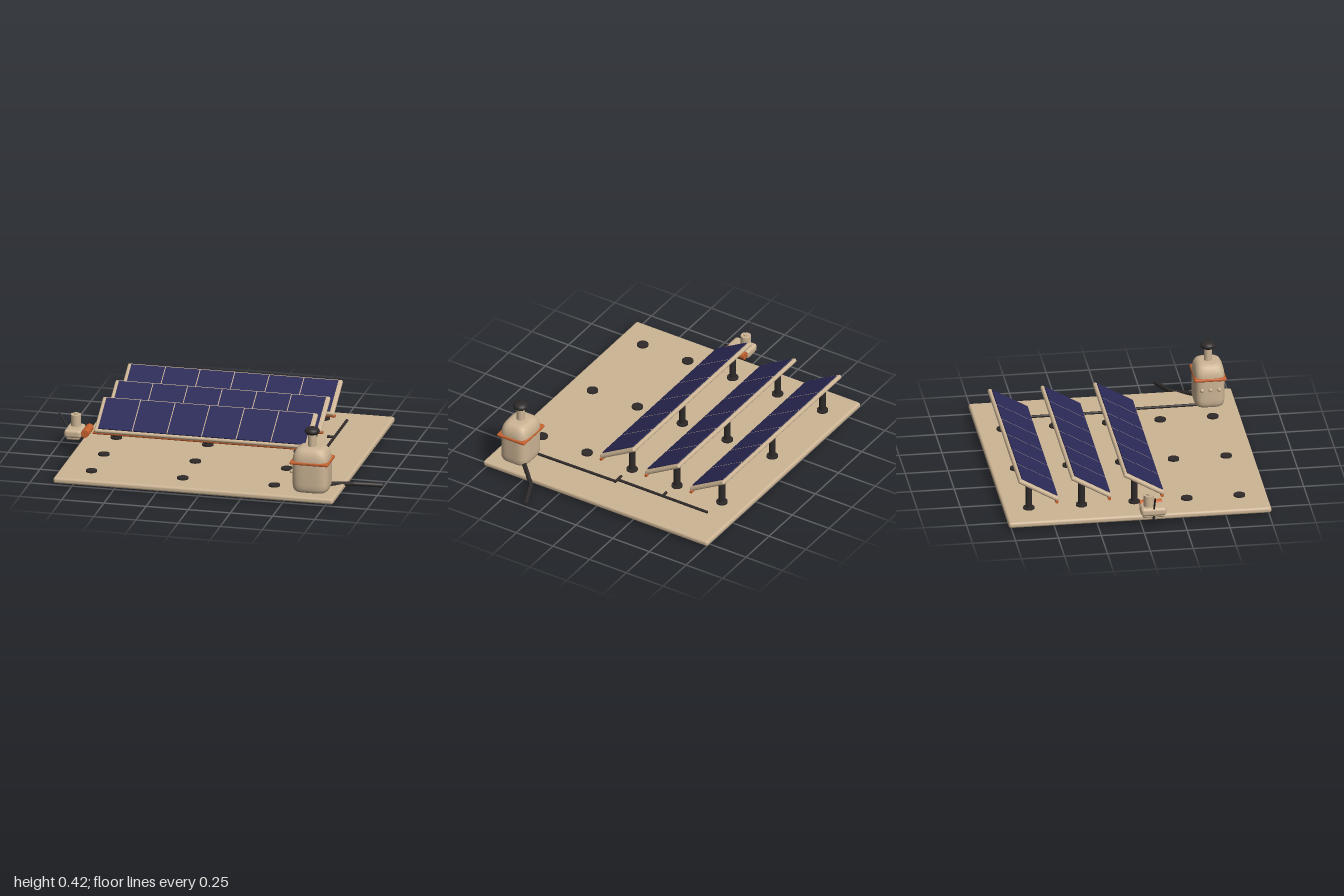
import * as THREE from 'three';
import { mergeVertices } from 'three/addons/utils/BufferGeometryUtils.js';
import { RoundedBoxGeometry } from 'three/addons/geometries/RoundedBoxGeometry.js';

export function createModel() {
  const mat = (name, color) => {
    const m = new THREE.MeshStandardMaterial({ color });
    m.name = name;
    return m;
  };
  const beige = mat('sandBeige', 0xcdb595);
  const orange = mat('burntOrange', 0xc8622f);
  const dark = mat('charcoal', 0x2f2a2a);
  const navy = mat('solarNavy', 0x2b2a58);

  const model = new THREE.Group();
  model.name = 'solarStation';

  const add = (parent, name, geo, material, x = 0, y = 0, z = 0) => {
    const mesh = new THREE.Mesh(geo, material);
    mesh.name = name;
    mesh.position.set(x, y, z);
    parent.add(mesh);
    return mesh;
  };
  const group = (name, x = 0, y = 0, z = 0) => {
    const g = new THREE.Group();
    g.name = name;
    g.position.set(x, y, z);
    model.add(g);
    return g;
  };
  const rbox = (w, h, d, r) => new RoundedBoxGeometry(w, h, d, 4, r);
  const cyl = (r, h, r2 = r) => new THREE.CylinderGeometry(r2, r, h, 24);
  // Straight rod between two points
  const rod = (parent, name, a, b, r, material) => {
    const p = new THREE.Vector3(...a), q = new THREE.Vector3(...b);
    const d = q.clone().sub(p);
    const m = add(parent, name, cyl(r, d.length()), material);
    m.position.copy(p).add(q).multiplyScalar(0.5);
    m.quaternion.setFromUnitVectors(new THREE.Vector3(0, 1, 0), d.normalize());
    return m;
  };

  // Base plate
  add(model, 'basePlate', rbox(1.66, 0.035, 1.53, 0.014), beige, -0.03, 0.0295, -0.003);

  // Mounting pads in five rows, posts and panels on the back three
  const postX = [-0.67, -0.128, 0.415];
  for (let row = 0; row < 5; row++) {
    const z = -0.625 + row * 0.3065;
    for (const x of postX) {
      add(model, 'mountingPad', cyl(0.033, 0.012), dark, x, 0.051, z);
      if (row < 3) add(model, 'post', cyl(0.019, 0.15), dark, x, 0.122, z);
    }
    if (row > 2) continue;

    const panel = group('solarPanel', -0.128, 0.197, z + 0.045);
    panel.rotation.x = Math.PI / 6;
    add(panel, 'panelFrame', rbox(1.275, 0.025, 0.268, 0.011), beige);
    for (let i = 0; i < 6; i++) {
      add(panel, 'solarCell', new THREE.BoxGeometry(0.2, 0.008, 0.238), navy, (i - 2.5) * 0.2053, 0.0145, 0);
    }
    for (let i = 1; i < 6; i++) {
      add(panel, 'cellDivider', new THREE.BoxGeometry(0.006, 0.007, 0.238), beige, (i - 3) * 0.2053, 0.0145, 0);
    }
    // Lower gutter
    const lip = add(panel, 'lowerLip', cyl(0.009, 1.29), orange, 0, -0.012, 0.127);
    lip.rotation.z = Math.PI / 2;
  }

  // Conduits joining the rows to the tank
  const conduits = group('conduits');
  const py = 0.054;
  rod(conduits, 'mainConduit', [0.552, py, -0.612], [0.552, py, 0.005], 0.008, dark);
  rod(conduits, 'tankConduit', [0.573, py, 0], [0.58, py, 0.53], 0.008, dark);
  rod(conduits, 'conduitBend', [0.51, py, 0], [0.58, py, 0], 0.008, dark);
  rod(conduits, 'conduitBranch', [0.51, py, -0.307], [0.555, py, -0.307], 0.008, dark);

  // Tank: lathe squared off into a rounded rectangle
  const tank = group('tank', 0.64, 0, 0.605);
  const profile = [[0, 0.047], [0.84, 0.047], [0.92, 0.054], [0.98, 0.07], [1, 0.095], [1, 0.232],
    [0.975, 0.256], [0.91, 0.278], [0.8, 0.296], [0.66, 0.306], [0.5, 0.31], [0, 0.31]];
  let body = new THREE.LatheGeometry(profile.map(([x, y]) => new THREE.Vector2(x, y)), 64);
  const pos = body.attributes.position;
  for (let i = 0; i < pos.count; i++) {
    const x = pos.getX(i), z = pos.getZ(i), r = Math.hypot(x, z);
    const k = r > 1e-6 ? r / Math.pow(x ** 4 + z ** 4, 0.25) : 1;
    pos.setX(i, x * k * 0.107);
    pos.setZ(i, z * k * 0.09);
  }
  body.deleteAttribute('uv');
  body.deleteAttribute('normal');
  body = mergeVertices(body, 1e-5);
  body.computeVertexNormals();
  add(tank, 'tankBody', body, beige);
  add(tank, 'tankBand', rbox(0.228, 0.018, 0.187, 0.007), orange, 0, 0.225, 0);
  add(tank, 'tankNeck', cyl(0.024, 0.085), beige, 0, 0.345, 0);
  add(tank, 'tankCap', new THREE.SphereGeometry(0.044, 32, 16), dark, 0, 0.401, 0).scale.y = 0.55;
  for (const z of [-0.05, 0, 0.05]) {
    add(tank, 'tankKnob', new THREE.SphereGeometry(0.012, 16, 12), beige, -0.108, 0.163, z);
  }

  // Outlet hose
  const hose = group('hose');
  const hosePts = [[0.71, 0.062, 0.54], [0.835, 0.031, 0.412], [0.996, 0.0135, 0.35]];
  for (let i = 0; i < 2; i++) rod(hose, 'hoseSection', hosePts[i], hosePts[i + 1], 0.0132, dark);
  add(hose, 'hoseJoint', new THREE.SphereGeometry(0.0132, 16, 12), dark, ...hosePts[1]);

  // Cleaning unit beside the front panel
  const cleaner = group('cleaner', -0.897, 0, 0.065);
  add(cleaner, 'cleanerBody', rbox(0.1, 0.05, 0.148, 0.018), beige, 0, 0.1, 0);
  add(cleaner, 'cleanerBelly', rbox(0.08, 0.03, 0.13, 0.012), beige, 0, 0.077, 0);
  add(cleaner, 'cleanerTurret', cyl(0.03, 0.075), beige, 0, 0.155, -0.024);
  add(cleaner, 'turretCap', cyl(0.013, 0.01), beige, 0, 0.196, -0.024);
  const roller = add(cleaner, 'brushRoller', cyl(0.023, 0.128), orange, 0.072, 0.105, -0.002);
  roller.rotation.x = Math.PI / 2;
  rod(cleaner, 'rollerArm', [0.03, 0.103, 0], [0.072, 0.105, 0], 0.008, dark);
  rod(cleaner, 'antenna', [-0.045, 0.122, 0], [-0.099, 0.213, 0], 0.005, dark);
  for (const x of [-0.035, 0.03]) {
    add(cleaner, 'cleanerFoot', cyl(0.008, 0.022), dark, x, 0.063, 0);
  }

  return model;
}
